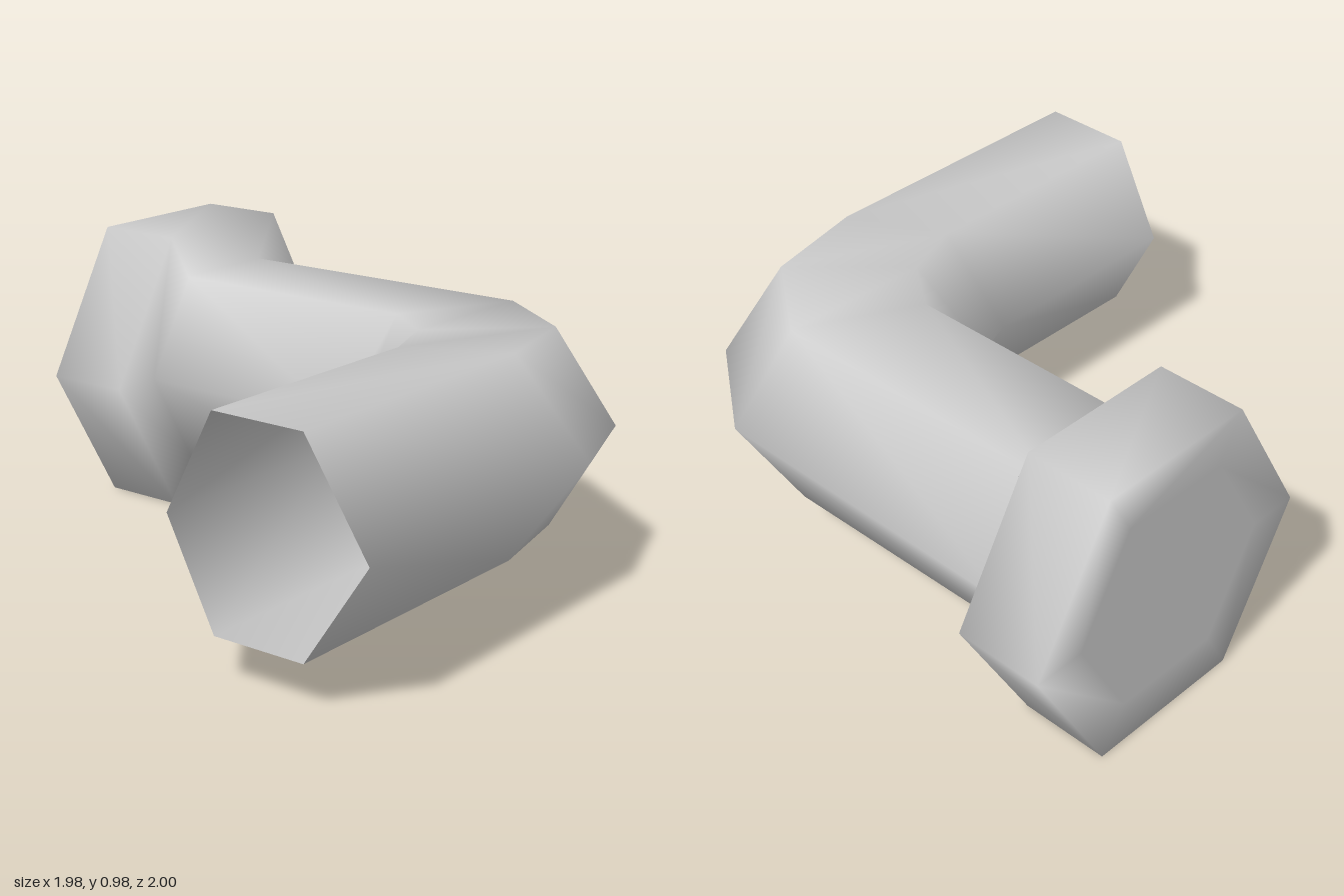
import * as THREE from 'three';

const MID_Y = 0.49;

// Hexagonal ring spanning from an inner to an outer corner [x, z];
// a and b are the fractions where the flat top and bottom start and end.
function hexRing(inner, outer, halfHeight, a = 0.25, b = 0.75) {
  const at = (t, h) => [
    THREE.MathUtils.lerp(inner[0], outer[0], t), MID_Y + h,
    THREE.MathUtils.lerp(inner[1], outer[1], t),
  ];
  return [at(1, 0), at(b, halfHeight), at(a, halfHeight),
    at(0, 0), at(a, -halfHeight), at(b, -halfHeight)];
}

// Regular ring facing along z, centred on the flanged arm
const straightRing = (z, r) => hexRing([0.422 - r, z], [0.422 + r, z], r * 0.868);

// Quads between neighbouring rings
function bandIndices(first, last) {
  const index = [];
  for (let i = first; i < last; i++) {
    for (let j = 0; j < 6; j++) {
      const k = (j + 1) % 6;
      const a = i * 6 + j, b = i * 6 + k;
      index.push(a, a + 6, b, b, a + 6, b + 6);
    }
  }
  return index;
}

export function createModel() {
  const group = new THREE.Group();
  group.name = 'pipeElbow';
  const grey = new THREE.MeshStandardMaterial({ color: 0xcccccc, side: THREE.DoubleSide });
  grey.name = 'grey';

  const rings = [
    // open end and bend
    hexRing([-0.99, 0.28], [-0.99, 1.0], 0.336, 0.24, 0.69),
    hexRing([-0.2, 0.28], [0.15, 1.0], 0.336, 0.25, 0.7),
    hexRing([-0.05, 0.225], [0.55, 0.86], 0.336, 0.25, 0.76),
    hexRing([0.037, 0.11], [0.81, 0.5], 0.336, 0.25, 0.76),
    // flanged end: pipe, collar front, collar back, inset cap
    straightRing(-0.695, 0.387),
    straightRing(-0.695, 0.565),
    straightRing(-1, 0.565),
    straightRing(-1, 0.387),
  ];
  const positions = [...rings.flat(2), 0.422, MID_Y, -1];
  const pipeIndex = bandIndices(0, 4);
  const flangeIndex = bandIndices(4, 7);
  const cap = 7 * 6, centre = 8 * 6;
  for (let j = 0; j < 6; j++) flangeIndex.push(cap + j, centre, cap + (j + 1) % 6);

  // Normals are shared so the shading runs smoothly from pipe to flange
  const whole = new THREE.BufferGeometry();
  whole.setAttribute('position', new THREE.Float32BufferAttribute(positions, 3));
  whole.setIndex([...pipeIndex, ...flangeIndex]);
  whole.computeVertexNormals();

  for (const [name, index] of [['bentPipe', pipeIndex], ['flange', flangeIndex]]) {
    const geometry = whole.clone();
    geometry.setIndex(index);
    const mesh = new THREE.Mesh(geometry, grey);
    mesh.name = name;
    group.add(mesh);
  }
  return group;
}
